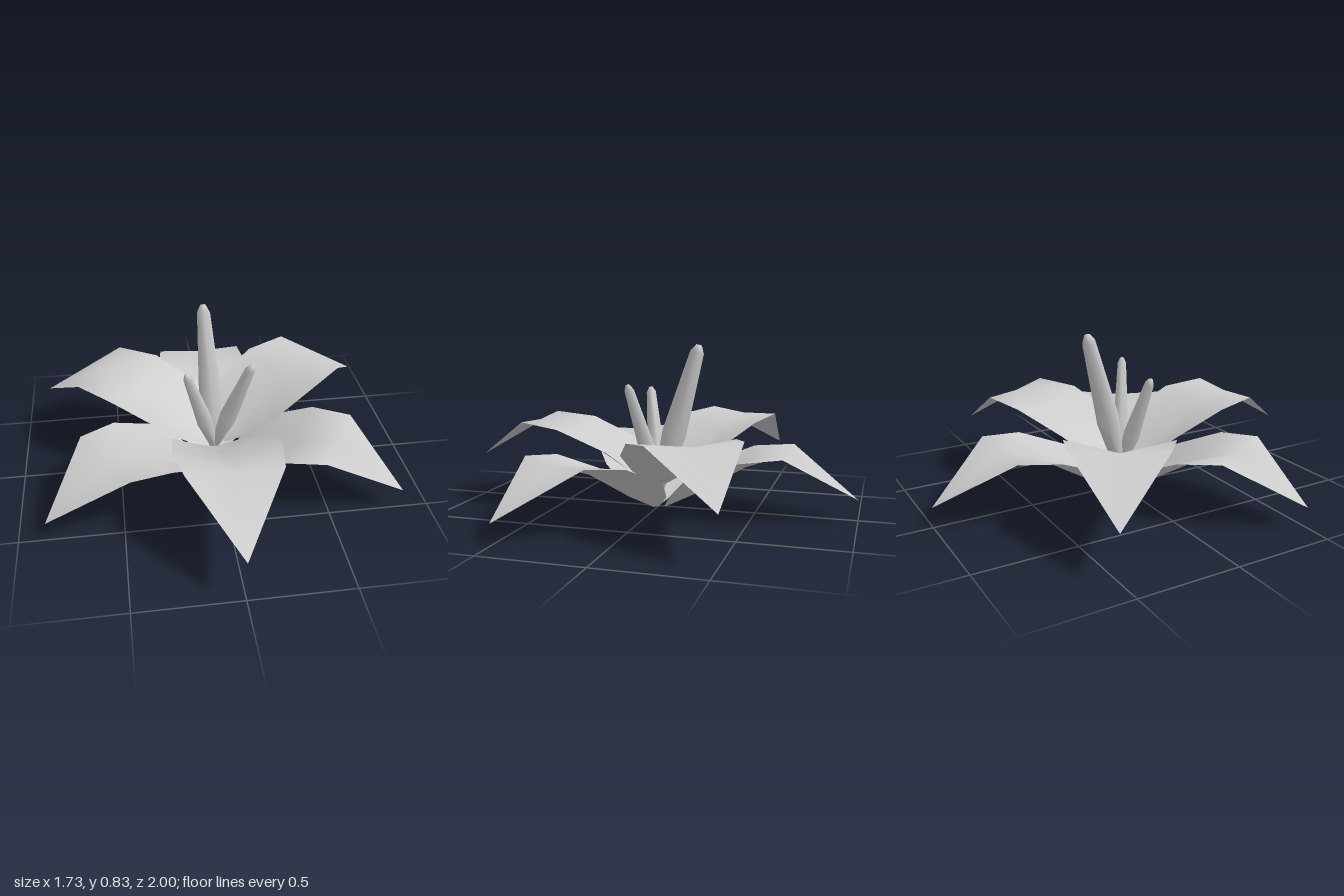
import * as THREE from 'three';

const material = new THREE.MeshStandardMaterial({ color: 0xcccccc, side: THREE.DoubleSide });

// Petal cross-sections: distance from centre, half width, midrib height, edge height
const sections = [
  [0.04, 0.04, 0.0, 0.01],
  [0.1, 0.16, 0.03, 0.09],
  [0.2, 0.24, 0.08, 0.19],
  [0.45, 0.26, 0.23, 0.295],
  [0.66, 0.225, 0.305, 0.32],
];

// A folded leaf: edge, midrib, edge on each section, closing in one tip point
function petalGeometry() {
  const points = [];
  const faces = [];
  for (const [r, w, mid, edge] of sections) points.push(-w, edge, r, 0, mid, r, w, edge, r);
  points.push(0, 0.1, 1);
  const last = (sections.length - 1) * 3;
  for (let i = 0; i < last; i += 3) {
    for (let j = 0; j < 2; j++) {
      const a = i + j, b = a + 1, c = a + 3, d = a + 4;
      // Diagonals mirrored about the midrib
      if (j === 0) faces.push(a, c, d, a, d, b);
      else faces.push(a, c, b, b, c, d);
    }
  }
  const tip = last + 3;
  faces.push(last, tip, last + 1, last + 1, tip, last + 2);
  const geometry = new THREE.BufferGeometry();
  geometry.setAttribute('position', new THREE.Float32BufferAttribute(points, 3));
  geometry.setIndex(faces);
  geometry.computeVertexNormals();
  return geometry;
}

// A slim six-sided bud leaning from its base to its tip
function stamen(name, tip, thickness) {
  const base = new THREE.Vector3(0, 0.1, 0);
  const axis = new THREE.Vector3(...tip).sub(base);
  const length = axis.length();
  const profile = [[0, 0], [0.03, 0.0], [0.064, 0.38], [0.036, 0.95], [0.015, 1], [0, 1]]
    .map(([r, t]) => new THREE.Vector2(r * thickness, t * length));
  const mesh = new THREE.Mesh(new THREE.LatheGeometry(profile, 6), material);
  mesh.name = name;
  mesh.position.copy(base);
  mesh.quaternion.setFromUnitVectors(new THREE.Vector3(0, 1, 0), axis.normalize());
  return mesh;
}

export function createModel() {
  const flower = new THREE.Group();
  flower.name = 'flower';

  // Two whorls of three petals, the upper one turned by 60 degrees
  const geometry = petalGeometry();
  for (let i = 0; i < 6; i++) {
    const upper = i % 2 === 0;
    const petal = new THREE.Mesh(geometry, material);
    petal.name = upper ? 'upperPetal' : 'lowerPetal';
    petal.rotation.y = i * Math.PI / 3;
    petal.position.y = upper ? 0.12 : 0;
    flower.add(petal);
  }

  // Centre of the flower
  flower.add(
    stamen('tallStamen', [-0.03, 0.83, -0.2], 1),
    stamen('leftStamen', [0.17, 0.64, 0.11], 0.7),
    stamen('rightStamen', [-0.15, 0.6, 0.09], 0.7),
  );
  return flower;
}
